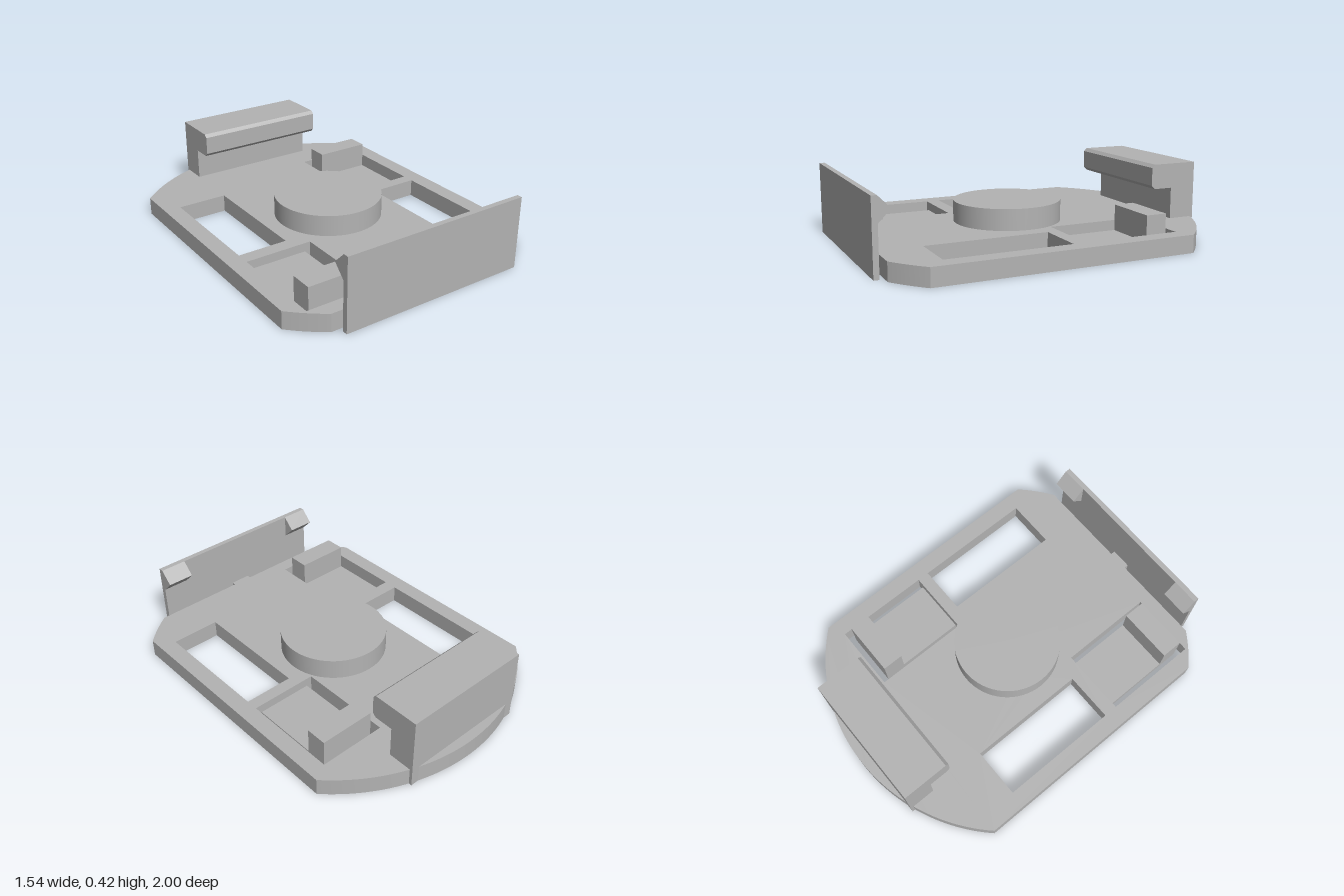
import * as THREE from 'three';
import { toCreasedNormals } from 'three/addons/utils/BufferGeometryUtils.js';

const PLATE_H = 0.1;      // base plate thickness
const CZ = 0.063;         // z of the hub and of the plate's arcs
const R = 1.063;          // radius of the plate's arcs
const deg = Math.PI / 180;

export function createModel() {
  const model = new THREE.Group();
  model.name = 'clipPlate';
  const grey = new THREE.MeshStandardMaterial({ color: 0xb3b3b3 });
  grey.name = 'grey plastic';

  const add = (name, geometry) => {
    const mesh = new THREE.Mesh(geometry, grey);
    mesh.name = name;
    model.add(mesh);
    return mesh;
  };

  // Box given by its limits on each axis
  const box = (name, x0, x1, y0, y1, z0, z1) =>
    add(name, new THREE.BoxGeometry(x1 - x0, y1 - y0, z1 - z0)
      .translate((x0 + x1) / 2, (y0 + y1) / 2, (z0 + z1) / 2));

  // Plan shape (x, z) raised from y0 to y1
  const slab = (name, shape, y0, y1) => {
    const g = new THREE.ExtrudeGeometry(shape, { depth: y1 - y0, bevelEnabled: false, curveSegments: 32 });
    g.rotateX(Math.PI / 2).translate(0, y1, 0);
    return add(name, toCreasedNormals(g, 0.5));
  };

  // Side profile of [z, y] points, swept from x0 to x1
  const sweep = (name, points, x0, x1) => {
    const shape = new THREE.Shape(points.map(([z, y]) => new THREE.Vector2(z, y)));
    const g = new THREE.ExtrudeGeometry(shape, { depth: x1 - x0, bevelEnabled: false });
    g.rotateY(-Math.PI / 2).translate(x1, 0, 0);
    return add(name, g);
  };

  // Base plate: straight sides, arced back and front corners
  const side = Math.acos(0.77 / R);
  const front = Math.asin((0.945 - CZ) / R);
  const outline = new THREE.Shape();
  outline.absarc(0, CZ, R, side, front, false);
  outline.absarc(0, CZ, R, Math.PI - front, Math.PI - side, false);
  outline.absarc(0, CZ, R, Math.PI + side, 2 * Math.PI - side, false);
  outline.closePath();

  // Two plain windows and two openings for the spring arms
  const windows = [
    [-0.675, -0.39, -0.46, 0.23],
    [0.39, 0.675, 0.0, 0.7],
    [0.288, 0.675, -0.62, -0.07],
    [-0.675, -0.288, 0.31, 0.862],
  ];
  for (const [x0, x1, z0, z1] of windows) {
    outline.holes.push(new THREE.Path([[x0, z0], [x0, z1], [x1, z1], [x1, z0]]
      .map(([x, z]) => new THREE.Vector2(x, z))));
  }
  const bore = new THREE.Path();
  bore.absarc(0, CZ, 0.25, 0, 2 * Math.PI, true);
  outline.holes.push(bore);
  slab('basePlate', outline, 0, PLATE_H);

  // Twist-lock socket: wall pieces with entry notches below, longer grooves above
  const wallPiece = (name, a0, a1, y0, y1) => {
    const s = new THREE.Shape();
    s.absarc(0, CZ, 0.25, a0, a1, false);
    s.absarc(0, CZ, 0.2, a1, a0, true);
    s.closePath();
    slab(name, s, y0, y1);
  };
  for (let i = 0; i < 4; i++) {
    const notch = (45 + 90 * i) * deg;
    wallPiece('socketWall', notch + 12 * deg, notch + 78 * deg, 0, 0.055);
    wallPiece('socketStop', notch + 48 * deg, notch + 78 * deg, 0.055, PLATE_H);
  }

  // Round hub closing the socket
  add('hub', new THREE.CylinderGeometry(0.305, 0.305, 0.12, 64).translate(0, 0.16, CZ));

  // Thin spring arms with a raised catch at the free end
  box('backSpringArm', 0.32, 0.64, 0, 0.05, -0.58, -0.07);
  box('backCatch', 0.32, 0.64, 0.05, 0.197, -0.58, -0.46);
  box('frontSpringArm', -0.64, -0.32, 0, 0.05, 0.31, 0.825);
  box('frontCatch', -0.64, -0.32, 0.05, 0.197, 0.7, 0.825);

  // Front clip: upright wall on a narrow bridge, with two wedge hooks
  box('frontWall', -0.545, 0.545, 0, 0.408, 0.97, 1.0);
  box('frontBridge', -0.06, 0.06, 0, PLATE_H, 0.945, 0.97);
  for (const x of [-0.545, 0.39]) {
    sweep('frontHook', [[0.97, 0.272], [0.97, 0.408], [0.902, 0.34]], x, x + 0.155);
  }

  // Back clip: thick upright with an overhanging lip
  sweep('backClip', [
    [-0.945, 0], [-0.79, 0], [-0.79, 0.278], [-0.68, 0.278],
    [-0.66, 0.298], [-0.66, 0.4], [-0.678, 0.418], [-0.945, 0.418],
  ], -0.385, 0.385);

  return model;
}
